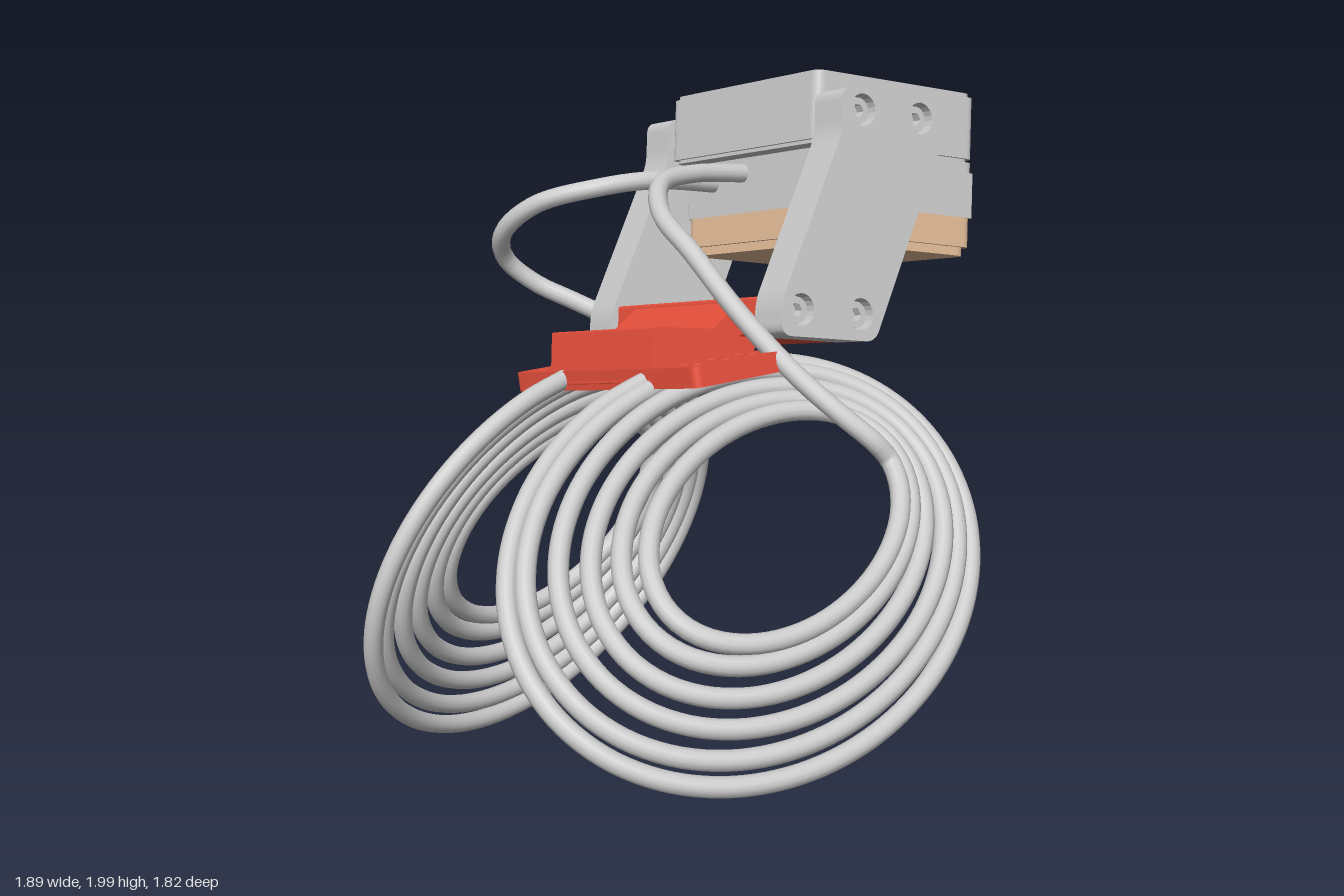
import * as THREE from 'three';

const GREY = new THREE.MeshStandardMaterial({ color: 0xcccccc });
const RED = new THREE.MeshStandardMaterial({ color: 0xe8503c });
const TAN = new THREE.MeshStandardMaterial({ color: 0xe3bd98 });
const MID = 0.14; // middle plane of the tilted assembly
const HALF = 0.342; // half the housing's length

function add(parent, name, geo, mat = GREY, x = 0, y = 0, z = 0) {
  const m = new THREE.Mesh(geo, mat);
  m.name = name;
  m.position.set(x, y, z);
  parent.add(m);
  return m;
}

// Closed outline with rounded corners
function rounded(points, r) {
  const p = points.map(([x, y]) => new THREE.Vector2(x, y));
  const s = new THREE.Shape();
  p.forEach((c, i) => {
    const a = p[(i + p.length - 1) % p.length], b = p[(i + 1) % p.length];
    const toward = (q) => q.clone().sub(c).setLength(Math.min(r, q.distanceTo(c) * 0.45)).add(c);
    const s0 = toward(a), s1 = toward(b);
    if (i === 0) s.moveTo(s0.x, s0.y); else s.lineTo(s0.x, s0.y);
    s.quadraticCurveTo(c.x, c.y, s1.x, s1.y);
  });
  s.closePath();
  return s;
}

function drill(shape, x, y, r) {
  shape.holes.push(new THREE.Path().absarc(x, y, r, 0, Math.PI * 2, true));
}

function extrude(shape, depth) {
  return new THREE.ExtrudeGeometry(shape, { depth, bevelEnabled: false, curveSegments: 10 });
}

// Horizontal layer: outline is (x, -z), extruded upward from y0 to y1
function layer(parent, name, shape, y0, y1, mat) {
  return add(parent, name, extrude(shape, y1 - y0).rotateX(-Math.PI / 2), mat, 0, y0, 0);
}

function rect(x0, x1, z0, z1, r) {
  return rounded([[x0, -z1], [x1, -z1], [x1, -z0], [x0, -z0]], r);
}

function buildBox() {
  const g = new THREE.Group();
  g.name = 'housing';
  const x0 = -0.095, x1 = 0.493, z0 = MID - HALF, z1 = MID + HALF;
  const back = -0.03; // the lower layers stop short of the lid

  // lid with four screw wells, finished by a narrower rim layer on top
  const wells = [[0.068, 0.26], [0.068, -0.26], [0.27, 0.18], [0.27, -0.18]];
  const lid = (inset) => {
    const s = rect(x0 + inset, x1 - inset, z0 + inset, z1 - inset, 0.03);
    wells.forEach(([x, z]) => drill(s, x, -(MID + z), 0.03));
    return s;
  };
  layer(g, 'lidTop', lid(0.008), 1.968, 1.98);
  layer(g, 'lid', lid(0), 1.79, 1.968);
  layer(g, 'lidSeam', rect(x0 + 0.01, x1 - 0.01, z0 + 0.01, z1 - 0.01, 0.03), 1.78, 1.79);
  layer(g, 'bodyTop', rect(back, x1, z0, z1, 0.03), 1.75, 1.78);

  // body with three socket openings in its outer side
  const slots = [[-0.13, -0.045], [0.03, 0.12], [0.235, 0.4]];
  const outline = [[back, -z1], [x1, -z1]];
  [...slots].reverse().forEach(([a, b]) => outline.push([x1, -b], [x1 - 0.14, -b], [x1 - 0.14, -a], [x1, -a]));
  outline.push([x1, -z0], [back, -z0]);
  layer(g, 'body', rounded(outline, 0.006), 1.62, 1.75);

  // clips standing in the openings
  slots.forEach(([a, b]) => {
    const w = (b - a) * 0.85, c = (a + b) / 2;
    add(g, 'clipBase', new THREE.BoxGeometry(0.1, 0.05, w), TAN, x1 - 0.07, 1.64, c);
    add(g, 'clipTop', new THREE.BoxGeometry(0.05, 0.11, w * 0.8), TAN, x1 - 0.08, 1.675, c);
    add(g, 'clipBar', new THREE.CylinderGeometry(0.012, 0.012, w, 12).rotateX(Math.PI / 2), TAN, x1 - 0.045, 1.7, c);
  });

  // base with a drilled underside and a small stepped edge
  const base = (inset) => rect(back + inset, x1 - inset, z0 + inset, z1 - inset, 0.035);
  layer(g, 'base', base(0), 1.535, 1.62, TAN);
  const foot = base(0.012);
  drill(foot, 0.23, -MID, 0.045);
  layer(g, 'baseBottom', foot, 1.51, 1.535, TAN);

  for (const s of [-1, 1]) {
    add(g, 'sidePin', new THREE.CylinderGeometry(0.02, 0.02, 0.01, 16).rotateZ(Math.PI / 2), GREY, x1, 1.85, MID + s * 0.25);
  }
  return g;
}

// Slanted side arm with four counterbored socket screws
function buildArm(s) {
  const g = new THREE.Group();
  g.name = s > 0 ? 'frontArm' : 'backArm';
  const outline = [[-0.29, 1.235], [0.035, 1.235], [0.262, 1.81], [0.262, 1.917], [-0.103, 1.917], [-0.103, 1.79], [-0.29, 1.33]];
  const holes = [[-0.03, 1.86], [0.177, 1.86], [-0.226, 1.307], [-0.02, 1.307]];
  const place = (inner, depth) => MID + (s > 0 ? inner : -inner - depth);
  add(g, 'armInner', extrude(rounded(outline, 0.035), 0.07), GREY, 0, 0, place(HALF, 0.07));
  const outer = rounded(outline, 0.035);
  holes.forEach(([x, y]) => drill(outer, x, y, 0.044));
  add(g, 'armOuter', extrude(outer, 0.048), GREY, 0, 0, place(HALF + 0.07, 0.048));
  const head = new THREE.Shape().absarc(0, 0, 0.036, 0, Math.PI * 2);
  head.holes.push(new THREE.Path([0, 1, 2, 3, 4, 5].map((i) =>
    new THREE.Vector2(0.019 * Math.cos(-i * Math.PI / 3), 0.019 * Math.sin(-i * Math.PI / 3)))));
  holes.forEach(([x, y]) => add(g, 'screwHead', extrude(head, 0.03), GREY, x, y, place(HALF + 0.067, 0.03)));
  add(g, 'topPin', new THREE.CylinderGeometry(0.02, 0.02, 0.01, 16), GREY, 0.08, 1.917, MID + s * (HALF + 0.059));
  return g;
}

function buildMount() {
  const g = new THREE.Group();
  g.name = 'mount';
  // raised saddle between the lower end flanges, ramping up to the block
  const saddle = rounded([[-0.555, 1.1], [-0.24, 1.17], [-0.2, 1.24], [-0.2, 1.3], [-0.27, 1.335], [-0.36, 1.255], [-0.555, 1.25]], 0.006);
  add(g, 'saddle', extrude(saddle, 0.5), RED, 0, 0, MID - 0.25);
  // block held between the arms
  const block = rounded([[-0.27, 1.24], [0.05, 1.24], [0.05, 1.35], [0.01, 1.37], [-0.27, 1.345]], 0.008);
  add(g, 'block', extrude(block, HALF * 2 - 0.002), RED, 0, 0, MID - HALF + 0.001);
  // wide, slightly tilted flange with two drilled ends
  const flange = rect(0, 0.315, MID - 0.435, MID + 0.445, 0.025);
  for (const s of [-1, 1])
    for (const x of [0.055, 0.147, 0.239])
      for (const z of [0.31, 0.375]) drill(flange, x, -(MID + s * z + 0.01), 0.022);
  const plate = layer(g, 'flange', flange, 0, 0.055, RED);
  plate.position.set(-0.55, 1.085, 0);
  plate.rotation.z = 0.2;
  return g;
}

// Lead followed by a widening coil; c, a, b hold [inner, outer] centre and half axes
function buildCord(name, lead, c, a, b, turns) {
  const pts = lead.map((p) => new THREE.Vector3(...p));
  const mix = ([p, q], t) => new THREE.Vector3(...p).lerp(new THREE.Vector3(...q), t);
  const n = Math.round(turns * 24);
  for (let i = 0; i <= n; i++) {
    const ang = (i / 24) * Math.PI * 2, t = (i / n + THREE.MathUtils.smoothstep(i / n, 0, 1)) / 2;
    const k = 1 + 0.008 * Math.sin(ang * 1.37);
    pts.push(mix(c, t).addScaledVector(mix(a, t), Math.cos(ang) * k).addScaledVector(mix(b, t), Math.sin(ang) * k));
  }
  const curve = new THREE.CatmullRomCurve3(pts);
  curve.arcLengthDivisions = 2400;
  const g = new THREE.Group();
  g.name = name;
  add(g, 'cord', new THREE.TubeGeometry(curve, 640, 0.027, 12));
  add(g, 'cordEnd', new THREE.SphereGeometry(0.027, 12, 8)).position.copy(pts[pts.length - 1]);
  return g;
}

export function createModel() {
  const model = new THREE.Group();
  model.name = 'cordedDevice';

  // tilted frame shared by the housing, arms and mount
  const w = new THREE.Vector3(0.05, 0.27, 0.96).normalize();
  const v = w.clone().cross(new THREE.Vector3(0.972, -0.233, 0.015)).normalize();
  const u = v.clone().cross(w);
  const device = new THREE.Group();
  device.name = 'device';
  device.quaternion.setFromRotationMatrix(new THREE.Matrix4().makeBasis(u, v, w));
  device.add(buildBox(), buildArm(1), buildArm(-1), buildMount());
  model.add(device);

  model.add(buildCord('frontCord',
    [[0.42, 1.64, -0.41], [0.2, 1.67, -0.41], [0.06, 1.67, -0.37], [-0.03, 1.62, -0.24], [-0.04, 1.55, -0.08],
      [-0.01, 1.42, 0.09], [0.05, 1.28, 0.27], [0.11, 1.19, 0.39], [0.17, 1.12, 0.46]],
    [[-0.175, 0.99, 0.51], [-0.235, 0.885, 0.45]],
    [[0.38, 0.08, -0.03], [0.68, 0.13, 0]],
    [[-0.02, -0.165, 0.22], [0, -0.375, 0.44]], 5.75));

  model.add(buildCord('backCord',
    [[0.42, 1.58, -0.54], [0.15, 1.63, -0.55], [-0.02, 1.62, -0.6], [-0.15, 1.57, -0.71], [-0.2, 1.47, -0.82],
      [-0.16, 1.37, -0.88], [-0.08, 1.29, -0.85], [0.01, 1.235, -0.76], [0.09, 1.18, -0.66], [0.17, 1.07, -0.62], [0.21, 0.88, -0.64]],
    [[-0.18, 0.63, -0.615], [-0.255, 0.595, -0.51]],
    [[0.385, 0.04, -0.065], [0.67, 0.05, -0.16]],
    [[0, -0.29, -0.085], [0, -0.57, -0.14]], 5.75));

  return model;
}
